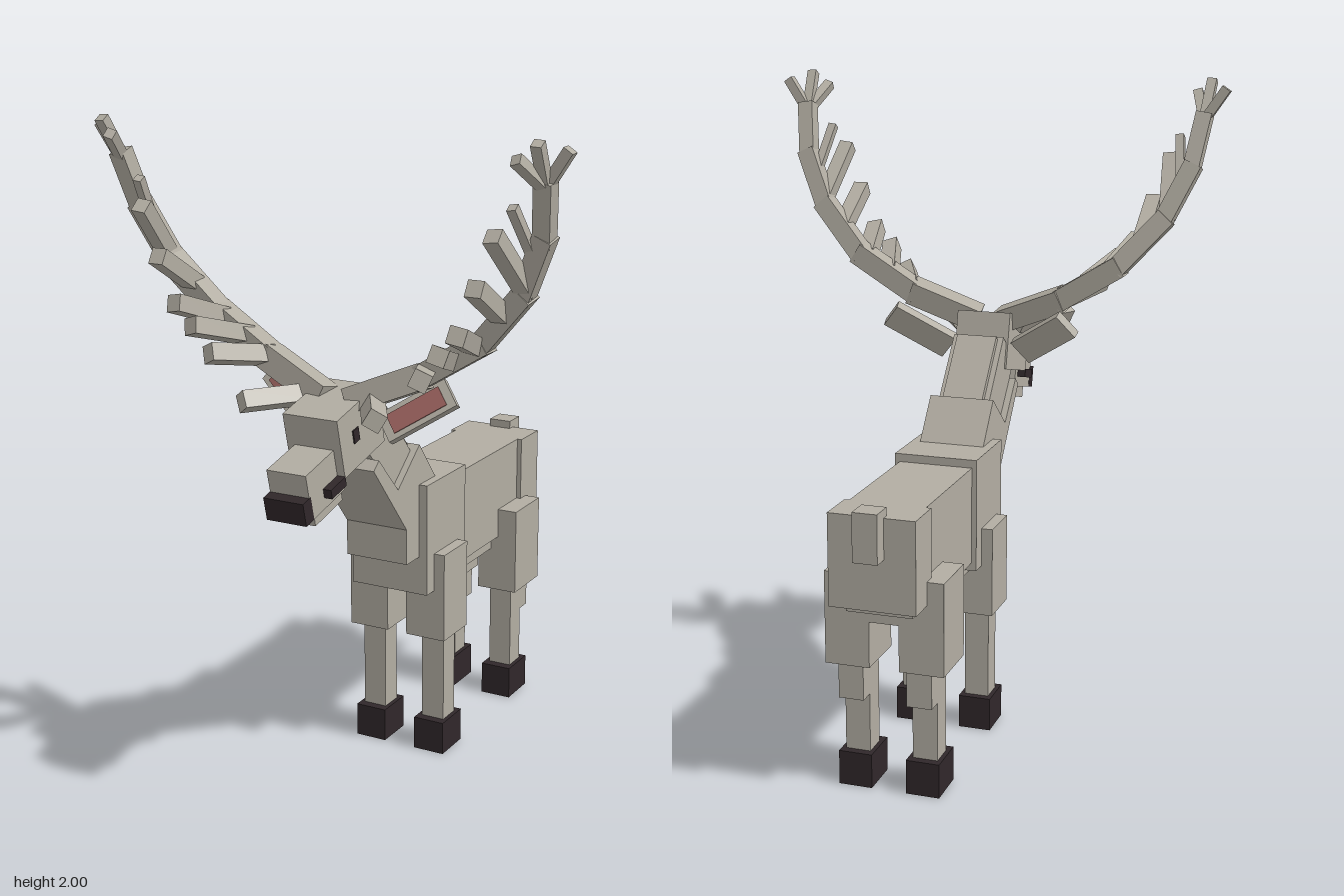
import * as THREE from 'three';

const mat = (name, color, side = THREE.FrontSide) => {
  const m = new THREE.MeshStandardMaterial({ color, side });
  m.name = name;
  return m;
};

export function createModel() {
  const fur = mat('fur grey', 0xb2ada2);
  const dark = mat('hoof black', 0x30272a);
  const pink = mat('inner ear pink', 0x9c625e);
  const model = new THREE.Group();
  model.name = 'stag';

  const add = (parent, name, geometry, material) => {
    const mesh = new THREE.Mesh(geometry, material);
    mesh.name = name;
    parent.add(mesh);
    return mesh;
  };
  // Box from its limits on each axis
  const block = (name, [x0, x1], [y0, y1], [z0, z1], material = fur, parent = model) => {
    const mesh = add(parent, name, new THREE.BoxGeometry(x1 - x0, y1 - y0, z1 - z0), material);
    mesh.position.set((x0 + x1) / 2, (y0 + y1) / 2, (z0 + z1) / 2);
    return mesh;
  };
  // Box from centre and size, pitched about x
  const tilted = (name, size, pos, pitch, material = fur) => {
    const mesh = add(model, name, new THREE.BoxGeometry(...size), material);
    mesh.position.set(...pos);
    mesh.rotation.x = pitch;
    return mesh;
  };
  // Square bar running between two points
  const bar = (parent, name, a, b, w, overlap = 0) => {
    const p = new THREE.Vector3(...a), q = new THREE.Vector3(...b);
    const dir = q.clone().sub(p);
    const mesh = add(parent, name, new THREE.BoxGeometry(w, dir.length() + overlap, w), fur);
    mesh.position.copy(p).add(q).multiplyScalar(0.5);
    mesh.quaternion.setFromUnitVectors(new THREE.Vector3(0, 1, 0), dir.normalize());
    return mesh;
  };

  // Trunk
  block('chest', [-0.13, 0.13], [0.55, 0.9], [-0.127, 0.127]);
  block('barrel', [-0.115, 0.115], [0.575, 0.875], [-0.55, -0.12]);
  block('belly', [-0.09, 0.09], [0.53, 0.58], [-0.58, -0.07]);
  block('rump', [-0.13, 0.13], [0.6, 0.875], [-0.67, -0.54]);
  block('rumpUnderside', [-0.1, 0.1], [0.57, 0.61], [-0.615, -0.5]);
  block('tail', [-0.037, 0.037], [0.755, 0.9], [-0.72, -0.645]);

  // Legs
  for (const s of [-1, 1]) {
    const mx = (a, b) => (s > 0 ? [a, b] : [-b, -a]);
    block('frontShoulder', mx(0.033, 0.165), [0.39, 0.67], [-0.075, 0.08]);
    block('frontShin', mx(0.066, 0.142), [0.1, 0.4], [-0.037, 0.037]);
    block('frontHoof', mx(0.053, 0.155), [0, 0.105], [-0.06, 0.065], dark);
    block('rearThigh', mx(0.045, 0.18), [0.39, 0.67], [-0.58, -0.4]);
    block('rearHock', mx(0.066, 0.142), [0.285, 0.4], [-0.575, -0.5]);
    block('rearShin', mx(0.066, 0.142), [0.1, 0.4], [-0.525, -0.45]);
    block('rearHoof', mx(0.053, 0.155), [0, 0.105], [-0.55, -0.42], dark);
  }

  // Neck: side profile (z, y) for the lower part, slanted boxes above
  const profile = [[0.125, 1.025], [0.024, 0.9], [-0.02, 0.85], [0, 0.67], [0.205, 0.67],
    [0.205, 0.78], [0.4, 1.015], [0.37, 1.04], [0.257, 0.92]];
  const shape = new THREE.Shape(profile.map(([z, y]) => new THREE.Vector2(z, y)));
  const neckGeo = new THREE.ExtrudeGeometry(shape, { depth: 0.206, bevelEnabled: false });
  neckGeo.translate(0, 0, -0.103).rotateY(-Math.PI / 2);
  add(model, 'lowerNeck', neckGeo, fur);
  tilted('upperNeck', [0.165, 0.25, 0.15], [0.276, 1.05, 0.275], 0.71).position.set(0, 1.045, 0.275);
  tilted('napeMane', [0.13, 0.23, 0.05], [0, 1.09, 0.222], 0.71);

  // Head
  const pitch = 0.235;
  tilted('head', [0.176, 0.18, 0.23], [0, 1.143, 0.443], pitch);
  tilted('snout', [0.126, 0.14, 0.18], [0, 1.03, 0.597], pitch);
  tilted('chin', [0.1, 0.045, 0.15], [0, 0.952, 0.565], pitch);
  tilted('nose', [0.128, 0.07, 0.042], [0, 0.973, 0.69], pitch, dark);
  for (const s of [-1, 1]) {
    tilted('eye', [0.008, 0.04, 0.03], [s * 0.088, 1.14, 0.475], pitch, dark);
    tilted('mouthCorner', [0.028, 0.028, 0.08], [s * 0.075, 1.012, 0.57], pitch, dark);
  }

  // Ears: slanted plates with a pink inset on the front
  for (const s of [-1, 1]) {
    const ear = new THREE.Group();
    ear.name = s > 0 ? 'leftEar' : 'rightEar';
    const along = new THREE.Vector3(0.17, 0.11 * s, -0.08 * s);
    if (s < 0) along.set(0.17, -0.11, 0.08);
    along.normalize();
    const up = new THREE.Vector3(-0.05 * s, 0.075, -0.03);
    const face = along.clone().cross(up).normalize();
    up.copy(face).cross(along);
    ear.quaternion.setFromRotationMatrix(new THREE.Matrix4().makeBasis(along, up, face));
    ear.position.set(s * 0.208, 1.19, 0.33);
    block('earShell', [-0.11, 0.11], [-0.045, 0.045], [-0.016, 0.016], fur, ear);
    block('innerEar', [-0.085, 0.085], [-0.03, 0.03], [0.015, 0.02], pink, ear);
    model.add(ear);
  }

  // Antlers: swept main beam, forward tines and a three-way fork
  const path = [[0.05, 1.225, 0.42], [0.245, 1.305, 0.38], [0.43, 1.42, 0.375],
    [0.565, 1.57, 0.41], [0.64, 1.73, 0.45], [0.663, 1.88, 0.5]];
  const tines = [
    [[0.1, 1.22, 0.4], [0.215, 1.225, 0.59], 0.052],
    [[0.25, 1.31, 0.375], [0.34, 1.345, 0.565], 0.052],
    [[0.33, 1.36, 0.37], [0.395, 1.42, 0.57], 0.05],
    [[0.41, 1.41, 0.38], [0.45, 1.48, 0.57], 0.05],
    [[0.5, 1.5, 0.39], [0.5, 1.61, 0.57], 0.048],
    [[0.575, 1.58, 0.41], [0.55, 1.75, 0.57], 0.045],
    [[0.61, 1.66, 0.43], [0.585, 1.82, 0.53], 0.026],
  ];
  const forkTips = [[0.73, 1.97, 0.505], [0.672, 1.99, 0.575], [0.625, 1.95, 0.6]];
  for (const s of [-1, 1]) {
    const antler = new THREE.Group();
    antler.name = s > 0 ? 'leftAntler' : 'rightAntler';
    const flip = ([x, y, z]) => [x * s, y, z];
    for (let i = 0; i < path.length - 1; i++) {
      bar(antler, 'antlerBeam', flip(path[i]), flip(path[i + 1]), 0.074 - i * 0.006, 0.025);
    }
    for (const [a, b, w] of tines) bar(antler, 'antlerTine', flip(a), flip(b), w);
    for (const tip of forkTips) bar(antler, 'antlerFork', flip([0.663, 1.87, 0.5]), flip(tip), 0.03);
    model.add(antler);
  }
  // Fix the neck on the centre line
  model.getObjectByName('upperNeck').position.x = 0;
  return model;
}
